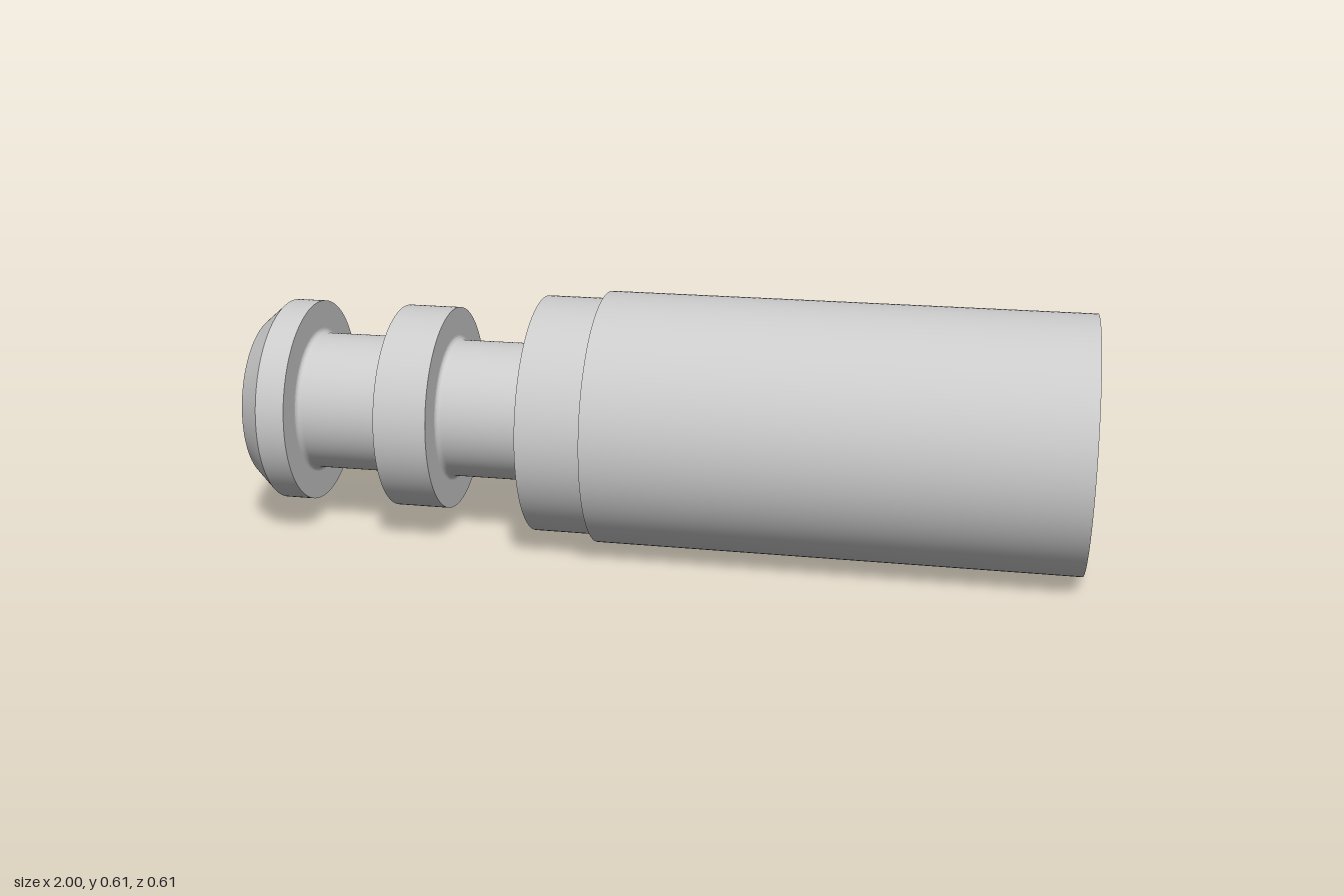
import * as THREE from 'three';
import { mergeGeometries } from 'three/addons/utils/BufferGeometryUtils.js';

const R = 0.305; // largest radius
const material = new THREE.MeshStandardMaterial({ color: 0xcccccc });

// Turned surface from [x, radius] points; every segment keeps crisp edges.
function turned(name, points) {
  const bands = [];
  for (let i = 0; i < points.length - 1; i++) {
    const pair = [points[i], points[i + 1]].map(([x, r]) => new THREE.Vector2(r, x));
    bands.push(new THREE.LatheGeometry(pair, 128));
  }
  const geometry = mergeGeometries(bands);
  geometry.rotateZ(-Math.PI / 2);
  const mesh = new THREE.Mesh(geometry, material);
  mesh.name = name;
  return mesh;
}

// Neck between two shoulders, with small fillets at the chosen ends.
function neck(name, x0, x1, r, f0, f1) {
  const points = [];
  const steps = 5;
  for (let i = 0; i <= steps && f0; i++) {
    const a = (i / steps) * Math.PI / 2;
    points.push([x0 + f0 * (1 - Math.cos(a)), r + f0 * (1 - Math.sin(a))]);
  }
  if (!f0) points.push([x0, r]);
  for (let i = 0; i <= steps && f1; i++) {
    const a = (i / steps) * Math.PI / 2;
    points.push([x1 - f1 + f1 * Math.sin(a), r + f1 * (1 - Math.cos(a))]);
  }
  if (!f1) points.push([x1, r]);
  return turned(name, points);
}

export function createModel() {
  const group = new THREE.Group();
  group.name = 'tubeFitting';
  const neckR = 0.168, flangeR = 0.248, fillet = 0.012;

  group.add(
    // Chamfered end flange, neck, collar, neck
    turned('endFlange', [[-1, 0.12], [-1, 0.2], [-0.945, flangeR], [-0.875, flangeR], [-0.875, neckR + fillet]]),
    neck('outerNeck', -0.875, -0.653, neckR, fillet, fillet),
    turned('collar', [[-0.653, neckR + fillet], [-0.653, flangeR], [-0.525, flangeR], [-0.525, neckR + fillet]]),
    neck('innerNeck', -0.525, -0.3, neckR, fillet, 0),

    // Stepped sleeve with a tapered socket
    turned('shoulder', [[-0.3, neckR], [-0.3, 0.287], [-0.145, 0.287]]),
    turned('sleeve', [[-0.145, 0.287], [-0.145, R], [1, R], [1, 0.28]]),
    turned('socket', [[1, 0.28], [0.83, 0.237], [0.83, 0.157]]),

    // Tapered nozzle flush with the sleeve mouth
    turned('nozzle', [[0.83, 0.157], [1, 0.125], [1, 0.105]]),

    // Through bore with a slight countersink
    turned('bore', [[1, 0.105], [-0.98, 0.105], [-1, 0.12]])
  );

  group.position.y = R;
  const model = new THREE.Group();
  model.name = 'model';
  model.add(group);
  return model;
}
